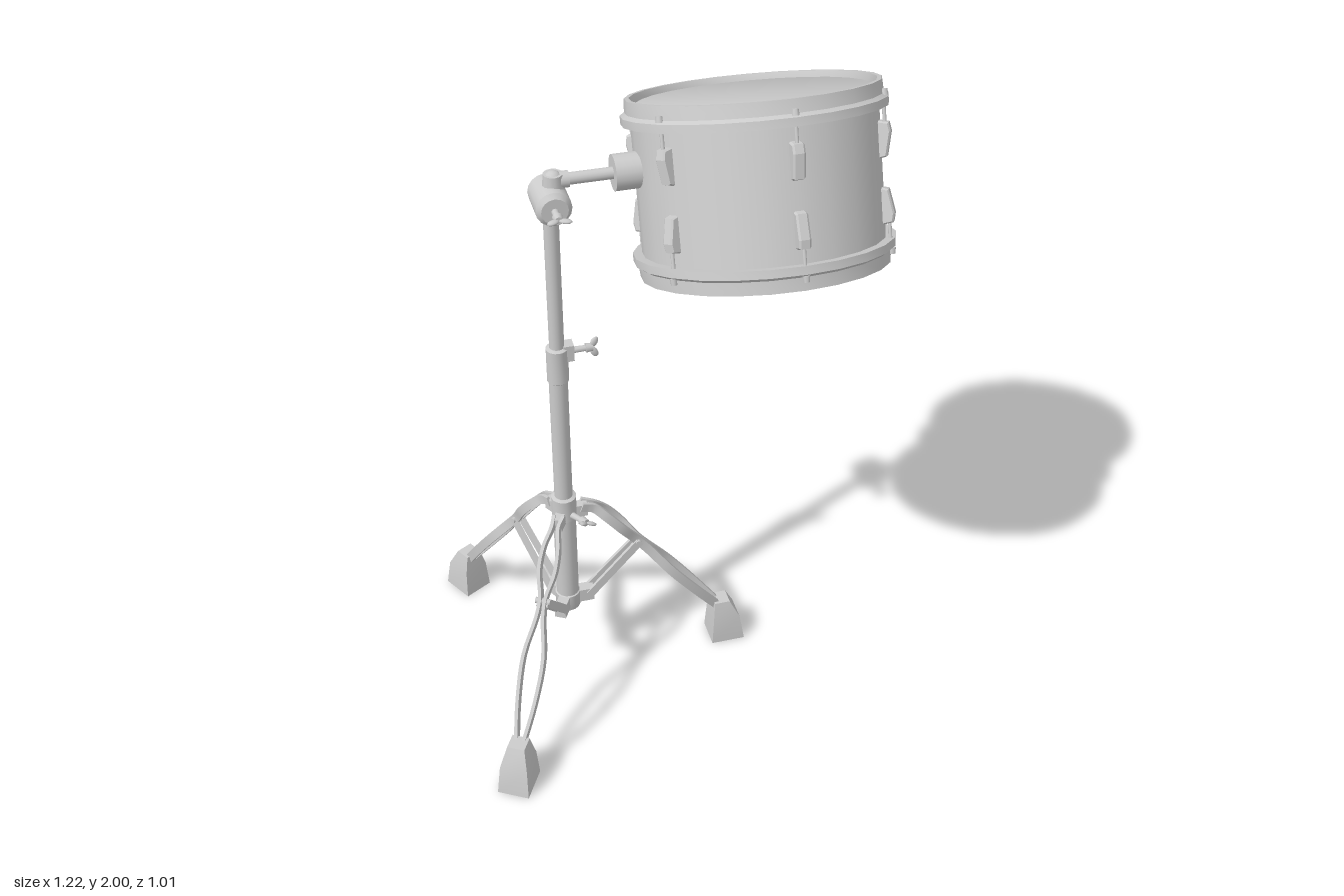
import * as THREE from 'three';
import { toCreasedNormals } from 'three/addons/utils/BufferGeometryUtils.js';

const grey = new THREE.MeshStandardMaterial({ color: 0xcccccc, side: THREE.DoubleSide });
const V = (x, y, z) => new THREE.Vector3(x, y, z);
const UP = V(0, 1, 0);
const POLE_X = -0.293;

function add(parent, name, geometry, x = 0, y = 0, z = 0) {
  const mesh = new THREE.Mesh(geometry, grey);
  mesh.name = name;
  mesh.position.set(x, y, z);
  parent.add(mesh);
  return mesh;
}

function group(parent, name, x = 0, y = 0, z = 0) {
  const g = new THREE.Group();
  g.name = name;
  g.position.set(x, y, z);
  parent.add(g);
  return g;
}

// Turned part from [radius, height] pairs, sharp edges kept
function turned(points, sides = 16) {
  const g = new THREE.LatheGeometry(points.map(p => new THREE.Vector2(...p)), sides);
  return toCreasedNormals(g, 0.6);
}

// Flat bar swept along points, kept upright in its bending plane
function ribbon(points, steps, halfThick, halfTall) {
  const curve = new THREE.CatmullRomCurve3(points);
  const pos = [], idx = [];
  for (let i = 0; i <= steps; i++) {
    const p = curve.getPoint(i / steps);
    const t = curve.getTangent(i / steps);
    const n = V(-t.y, t.x, 0).normalize();
    for (const [a, b] of [[1, 1], [1, -1], [-1, -1], [-1, 1]]) {
      pos.push(p.x + n.x * halfTall * a, p.y + n.y * halfTall * a, p.z + halfThick * b);
    }
    if (i === 0) continue;
    const o = (i - 1) * 4;
    for (let k = 0; k < 4; k++) {
      const m = (k + 1) % 4;
      idx.push(o + k, o + k + 4, o + m, o + m, o + k + 4, o + m + 4);
    }
  }
  const e = steps * 4;
  idx.push(0, 1, 2, 0, 2, 3, e, e + 2, e + 1, e, e + 3, e + 2);
  const g = new THREE.BufferGeometry();
  g.setAttribute('position', new THREE.Float32BufferAttribute(pos, 3));
  g.setIndex(idx);
  return toCreasedNormals(g, 0.6);
}

// Wing screw: stem along dir with two splayed wings
function wingScrew(parent, name, base, dir, length) {
  const g = group(parent, name, base.x, base.y, base.z);
  g.quaternion.setFromUnitVectors(UP, dir.clone().normalize());
  add(g, 'stem', new THREE.CylinderGeometry(0.008, 0.01, length, 10), 0, length / 2, 0);
  add(g, 'hub', new THREE.CylinderGeometry(0.011, 0.014, 0.02, 10), 0, length - 0.01, 0);
  for (const s of [-1, 1]) {
    const wing = add(g, 'wing', new THREE.SphereGeometry(1, 10, 8), s * 0.016, length + 0.004, 0);
    wing.scale.set(0.018, 0.01, 0.006);
    wing.rotation.z = s * 0.45;
  }
}

function buildDrum(parent) {
  const drum = group(parent, 'drum', 0.258, 1.665, 0.027);
  drum.rotation.x = -0.355;
  add(drum, 'shell', new THREE.CylinderGeometry(0.322, 0.322, 0.42, 24, 1, true));

  const lugProfile = new THREE.Shape([
    [0, -0.045], [0.018, -0.04], [0.03, 0.02], [0.026, 0.04], [0, 0.045],
  ].map(p => new THREE.Vector2(...p)));
  const lugGeo = new THREE.ExtrudeGeometry(lugProfile, {
    depth: 0.022, bevelThickness: 0.005, bevelSize: 0.004, bevelSegments: 1,
  }).translate(0, 0, -0.011);

  for (const s of [1, -1]) {
    const end = group(drum, s > 0 ? 'topEnd' : 'bottomEnd');
    if (s < 0) end.rotation.x = Math.PI;
    add(end, 'hoop', turned([
      [0.315, 0.17], [0.347, 0.17], [0.347, 0.192], [0.335, 0.2],
      [0.332, 0.235], [0.32, 0.235], [0.315, 0.215], [0.315, 0.17],
    ], 24));
    add(end, 'drumHead', turned([[0.317, 0.212], [0.3, 0.22], [0, 0.22]], 24));
    // Six lugs with tension screws
    for (let i = 0; i < 6; i++) {
      const side = group(end, 'tensionPoint');
      side.rotation.y = Math.PI / 6 + i * Math.PI / 3;
      add(side, 'lug', lugGeo, 0.317, 0.085, 0);
      add(side, 'tensionRod', new THREE.CylinderGeometry(0.005, 0.005, 0.07, 8), 0.335, 0.145, 0);
      add(side, 'screwHead', new THREE.CylinderGeometry(0.008, 0.01, 0.016, 8), 0.338, 0.204, 0);
    }
  }
}

function buildMount(parent) {
  const mount = group(parent, 'mount', POLE_X, 0, 0);
  // Tilting clamp, lying along z
  const clamp = add(mount, 'tiltClamp', turned([
    [0, -0.068], [0.036, -0.068], [0.048, -0.055], [0.048, 0.05], [0.036, 0.063], [0, 0.063],
  ]), 0, 1.665, 0);
  clamp.rotation.x = Math.PI / 2;
  add(mount, 'elbow', new THREE.CylinderGeometry(0.026, 0.03, 0.05, 12), 0.01, 1.715, 0);
  add(mount, 'elbowCap', new THREE.SphereGeometry(0.026, 12, 8), 0.01, 1.722, 0);
  for (const [name, r, x0, x1] of [
    ['armSocket', 0.022, 0.01, 0.05], ['arm', 0.016, 0.03, 0.19], ['shellBracket', 0.048, 0.166, 0.25],
  ]) {
    const g = new THREE.CylinderGeometry(r, r, x1 - x0, 16).rotateZ(Math.PI / 2);
    add(mount, name, g, (x0 + x1) / 2, 1.72, 0);
  }
  wingScrew(mount, 'tiltScrew', V(0, 1.665, 0.06), V(0, 0, 1), 0.05);
}

function buildPole(parent) {
  const pole = group(parent, 'pole', POLE_X, 0, 0);
  add(pole, 'upperTube', new THREE.CylinderGeometry(0.021, 0.021, 0.5, 16), 0, 1.4, 0);
  add(pole, 'lowerTube', new THREE.CylinderGeometry(0.027, 0.027, 0.85, 16), 0, 0.775, 0);
  add(pole, 'heightCollar', turned([[0.02, 1.21], [0.031, 1.205], [0.031, 1.1], [0.026, 1.095]].reverse()));
  add(pole, 'baseTube', new THREE.CylinderGeometry(0.034, 0.034, 0.38, 16), 0, 0.44, 0);
  add(pole, 'legCollar', turned([[0.03, 0.6], [0.037, 0.605], [0.037, 0.68], [0.026, 0.685]]));
  add(pole, 'bottomCollar', turned([[0, 0.25], [0.036, 0.25], [0.038, 0.255], [0.038, 0.305], [0.03, 0.31]]));
  add(pole, 'heightLug', new THREE.BoxGeometry(0.03, 0.05, 0.036), 0.03, 1.19, 0);
  wingScrew(pole, 'heightScrew', V(0.035, 1.19, 0), V(1, 0, 0), 0.065);
  wingScrew(pole, 'legScrew', V(0.018, 0.625, 0.03), V(0.5, 0.1, 0.85), 0.06);
}

function buildLeg(parent, angle) {
  const leg = group(parent, 'leg', POLE_X, 0, 0);
  leg.rotation.y = angle;
  add(leg, 'upperBracket', new THREE.BoxGeometry(0.04, 0.04, 0.028), 0.048, 0.62, 0);
  add(leg, 'lowerBracket', new THREE.BoxGeometry(0.05, 0.045, 0.034), 0.054, 0.283, 0);
  // Paired bars that pinch and spread
  const path = [
    [0.05, 0.635, 0.014], [0.085, 0.622, 0.01], [0.125, 0.585, 0.022], [0.17, 0.53, 0.024],
    [0.215, 0.468, 0.008], [0.25, 0.424, 0.01], [0.32, 0.333, 0.03], [0.4, 0.23, 0.026], [0.485, 0.12, 0.008],
  ];
  for (const s of [-1, 1]) {
    add(leg, 'legBar', ribbon(path.map(([r, y, z]) => V(r, y, z * s)), 32, 0.005, 0.014));
    add(leg, 'braceBar', ribbon([V(0.225, 0.46, s * 0.012), V(0.065, 0.285, s * 0.016)], 2, 0.005, 0.013));
  }
  add(leg, 'bracePin', new THREE.CylinderGeometry(0.009, 0.009, 0.045, 8).rotateX(Math.PI / 2), 0.22, 0.46, 0);

  // Tapered rubber foot: [inner, outer, half width] at three heights
  const sections = [[0.453, 0.558, 0.047], [0.458, 0.543, 0.041], [0.465, 0.513, 0.026]];
  const heights = [0, 0.09, 0.15];
  const g = new THREE.BoxGeometry(1, 2, 1, 1, 2, 1);
  const p = g.attributes.position;
  for (let i = 0; i < p.count; i++) {
    const k = Math.round(p.getY(i) + 1);
    const [inner, outer, half] = sections[k];
    p.setXYZ(i, p.getX(i) > 0 ? outer : inner, heights[k], Math.sign(p.getZ(i)) * half);
  }
  add(leg, 'foot', toCreasedNormals(g, 0.5));
}

export function createModel() {
  const model = new THREE.Group();
  model.name = 'drumOnStand';
  buildDrum(model);
  buildMount(model);
  buildPole(model);
  for (let i = 0; i < 3; i++) buildLeg(model, i * Math.PI * 2 / 3);
  return model;
}
